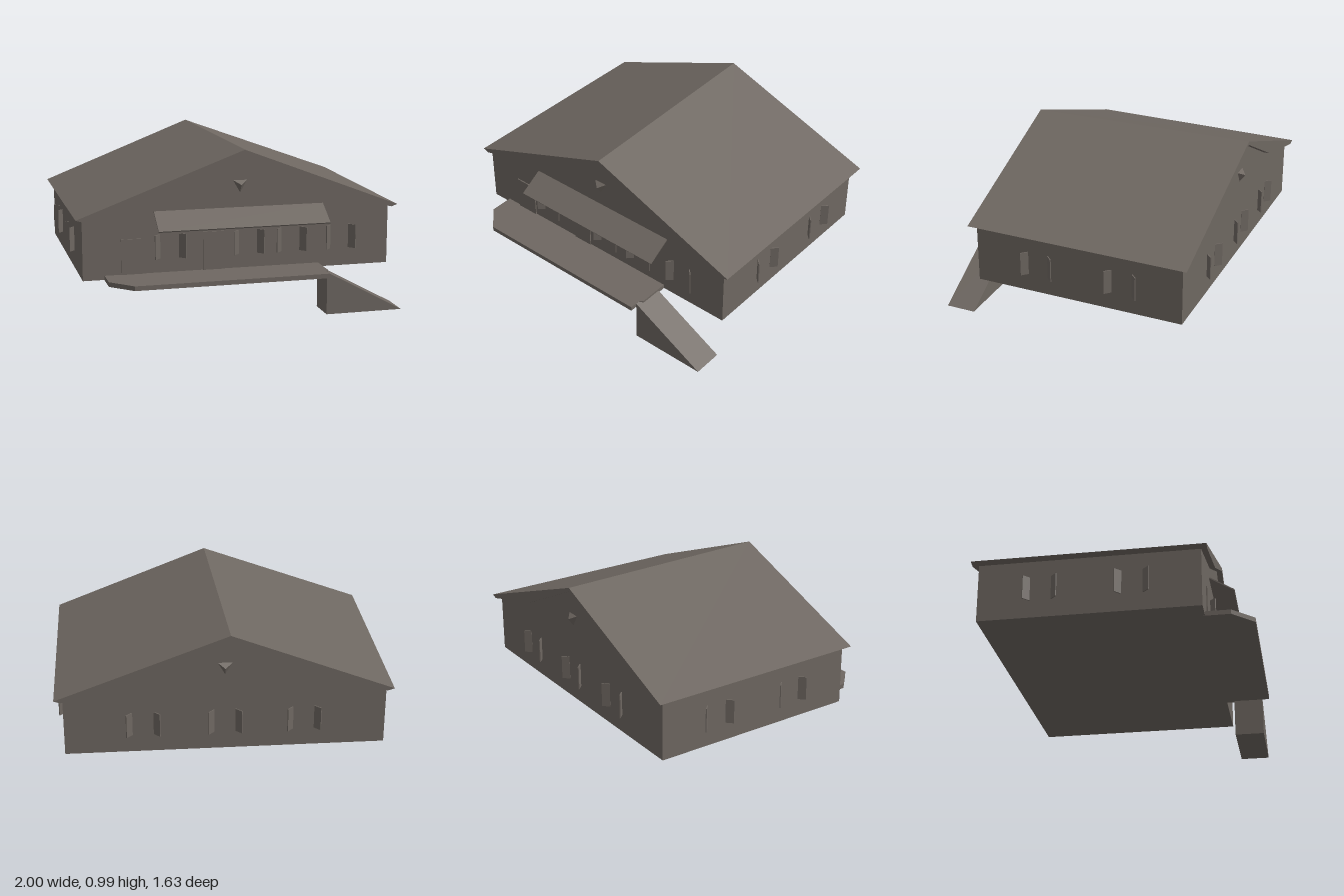
import * as THREE from 'three';

export function createModel() {
  const group = new THREE.Group();
  const stone = new THREE.MeshStandardMaterial({ color: 0x6e6761, side: THREE.DoubleSide });
  stone.name = 'warm grey';

  const add = (name, geometry, x = 0, y = 0, z = 0, parent = group) => {
    const mesh = new THREE.Mesh(geometry, stone);
    mesh.name = name;
    mesh.position.set(x, y, z);
    parent.add(mesh);
    return mesh;
  };
  const shape = (pts) => new THREE.Shape(pts.map(([x, y]) => new THREE.Vector2(x, y)));
  const extrude = (pts, depth) => new THREE.ExtrudeGeometry(shape(pts), { depth, bevelEnabled: false });
  // The ridge runs slightly askew from back to front
  const ridgeX = (z) => z * 0.036;

  // Main walls
  add('walls', new THREE.BoxGeometry(1.91, 0.37, 1.315), -0.005, 0.425, -0.1175);

  // Roof with kinked gable boards and an open underside
  const roof = extrude([[-1, 0.615], [-0.96, 0.602], [-0.48, 0.73], [0, 0.97], [0.48, 0.73],
    [0.96, 0.602], [1, 0.615], [0, 0.993]], 1.39);
  roof.translate(0, 0, -0.815);
  const p = roof.attributes.position;
  for (let i = 0; i < p.count; i++) {
    if (p.getY(i) > 0.95) p.setX(i, p.getX(i) + ridgeX(p.getZ(i)));
  }
  roof.computeVertexNormals();
  add('roof', roof);

  // Gable walls with a small pointed vent on each
  for (const [side, z] of [[1, 0.54], [-1, -0.775]]) {
    const name = side > 0 ? 'front' : 'back';
    add(name + 'Gable', extrude([[-0.96, 0.605], [0.95, 0.605], [0.48, 0.732],
      [ridgeX(z), 0.972], [-0.48, 0.732]], 0.01), 0, 0, side > 0 ? z - 0.01 : z);
    const vent = new THREE.ConeGeometry(0.05, 0.035, 3).toNonIndexed();
    vent.computeVertexNormals();
    vent.rotateX(side * Math.PI / 2);
    if (side < 0) vent.rotateZ(Math.PI);
    add(name + 'Vent', vent, 0, 0.78, z + side * 0.0175);
  }

  // Pairs of flared shutters; u runs along the wall, outward is local +z
  function addShutters(name, x, z, angle, centres, half) {
    const wall = new THREE.Group();
    wall.name = name;
    wall.position.set(x, 0.425, z);
    wall.rotation.y = angle;
    for (const u of centres) {
      for (const s of [-1, 1]) {
        const panel = add('shutter', new THREE.BoxGeometry(0.05, 0.148, 0.006), u + s * half, 0, 0.017, wall);
        panel.rotation.y = -s * Math.PI / 4;
      }
    }
    group.add(wall);
  }
  addShutters('frontShutters', 0, 0.54, 0, [-0.435, 0.05, 0.32, 0.635], 0.077);
  addShutters('backShutters', 0, -0.775, Math.PI, [-0.485, 0, 0.47], 0.082);
  addShutters('leftShutters', 0.95, 0, Math.PI / 2, [-0.138, 0.4], 0.082);
  addShutters('rightShutters', -0.96, 0, -Math.PI / 2, [0.138, -0.4], 0.082);

  // Doors
  add('sideDoor', new THREE.BoxGeometry(0.15, 0.215, 0.008), -0.655, 0.372, 0.543);
  add('mainDoor', new THREE.BoxGeometry(0.13, 0.235, 0.008), -0.165, 0.382, 0.543);

  // Porch deck with a clipped corner
  const deck = extrude([[-0.83, -0.53], [-0.83, -0.69], [-0.7, -0.82], [0.48, -0.82],
    [0.48, -0.75], [0.5, -0.73], [0.5, -0.53]], 0.028);
  deck.rotateX(-Math.PI / 2);
  add('porchDeck', deck, 0, 0.237, 0);

  // Access ramp
  add('ramp', extrude([[0.48, 0], [0.96, 0], [0.48, 0.262]], 0.185), 0, 0, 0.59);

  // Sloping awning over the entrance
  const awning = add('awning', new THREE.BoxGeometry(1.055, 0.008, 0.175), -0.003, 0.591, 0.616);
  awning.rotation.x = Math.atan2(0.092, 0.148);

  return group;
}
